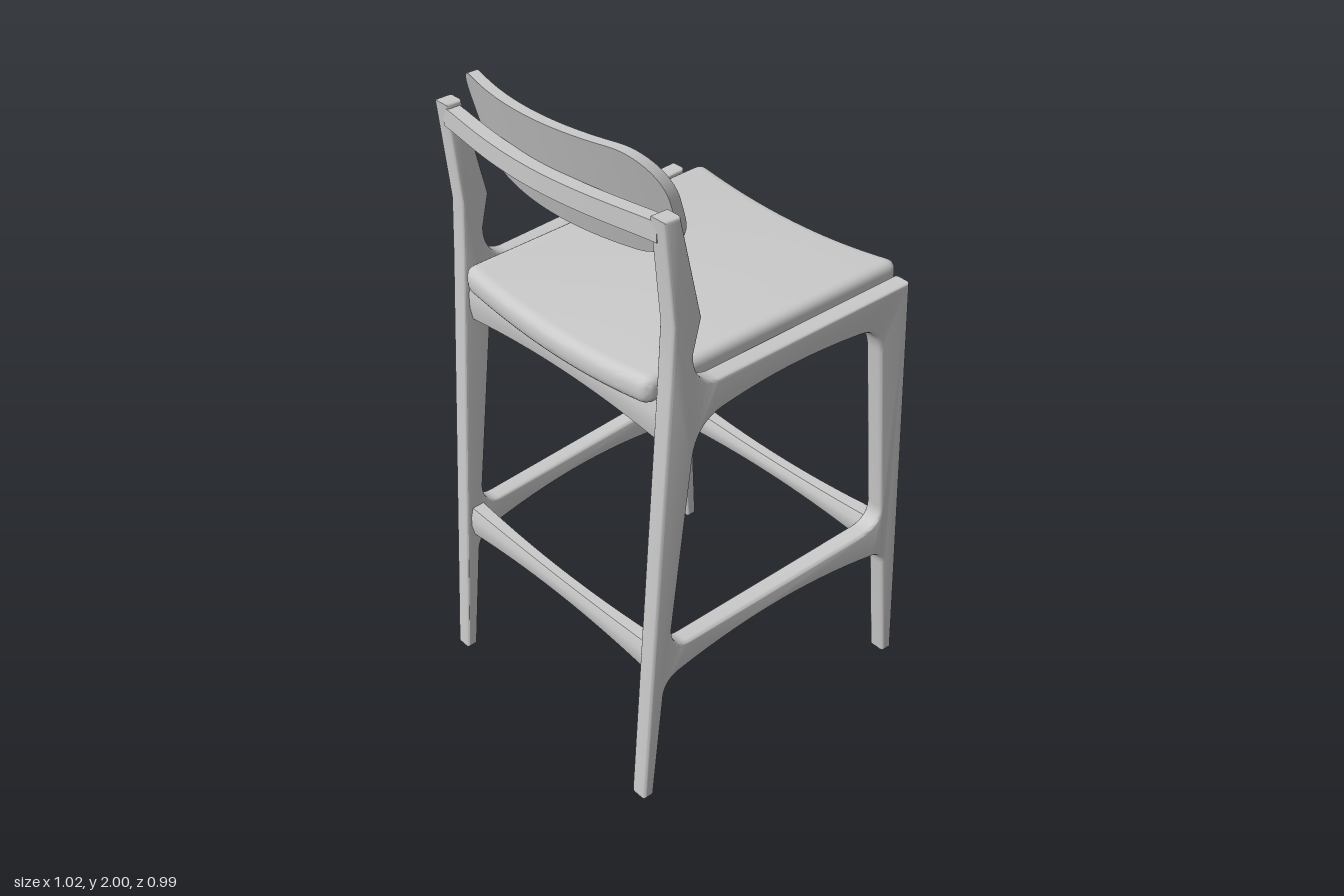
import * as THREE from 'three';
import { toCreasedNormals } from 'three/addons/utils/BufferGeometryUtils.js';

const frameGrey = new THREE.MeshStandardMaterial({ name: 'light grey', color: 0xcacaca });

// Move every vertex of a geometry by a rule, then rebuild its normals.
function reshape(geometry, rule) {
  const p = geometry.attributes.position;
  const v = new THREE.Vector3();
  for (let i = 0; i < p.count; i++) {
    v.fromBufferAttribute(p, i);
    rule(v);
    p.setXYZ(i, v.x, v.y, v.z);
  }
  return toCreasedNormals(geometry, 0.6);
}

function addPart(group, name, geometry) {
  const mesh = new THREE.Mesh(geometry, frameGrey);
  mesh.name = name;
  group.add(mesh);
}

// Legs, back post and side rails form one sawn outline with an opening.
function sideFrame(side) {
  const s = new THREE.Shape();
  s.moveTo(-0.51, 0);
  s.lineTo(-0.475, 0);
  s.lineTo(-0.435, 0.37);
  s.quadraticCurveTo(-0.428, 0.42, -0.38, 0.432);
  s.quadraticCurveTo(0, 0.515, 0.385, 0.44);
  s.quadraticCurveTo(0.43, 0.43, 0.436, 0.38);
  s.lineTo(0.475, 0);
  s.lineTo(0.51, 0);
  s.lineTo(0.445, 1.385);
  s.lineTo(-0.25, 1.362);
  s.quadraticCurveTo(-0.335, 1.375, -0.335, 1.47);
  s.lineTo(-0.31, 1.57);
  s.lineTo(-0.378, 1.872);
  s.lineTo(-0.43, 1.872);
  s.lineTo(-0.4, 1.57);
  s.lineTo(-0.41, 1.4);
  s.closePath();

  const h = new THREE.Path();
  h.moveTo(-0.405, 0.6);
  h.quadraticCurveTo(-0.405, 0.525, -0.34, 0.525);
  h.lineTo(0.34, 0.55);
  h.quadraticCurveTo(0.41, 0.555, 0.405, 0.62);
  h.lineTo(0.35, 1.19);
  h.quadraticCurveTo(0.34, 1.28, 0.26, 1.285);
  h.quadraticCurveTo(0, 1.31, -0.22, 1.27);
  h.quadraticCurveTo(-0.32, 1.26, -0.335, 1.15);
  h.closePath();
  s.holes.push(h);

  const geometry = new THREE.ExtrudeGeometry(s, {
    depth: 0.036, curveSegments: 14, bevelEnabled: true,
    bevelThickness: 0.011, bevelSize: 0.009, bevelOffset: -0.009, bevelSegments: 3,
  });
  geometry.translate(0, 0, -0.018);
  // The frames spread apart towards the front.
  return reshape(geometry, (v) => { v.z += side * (0.4325 + (v.x + 0.48) * 0.034); });
}

// Cross bar with an arched underside, soft ridge and flared ends.
function crossBar(x, top, bottom, halfLength, width, archTop, archBottom) {
  const geometry = new THREE.BoxGeometry(1, 1, 2, 1, 3, 28);
  return reshape(geometry, (v) => {
    const middle = 1 - v.z * v.z;
    const upper = top - archTop * middle;
    const lower = bottom + archBottom * middle;
    const ridge = Math.abs(v.y) > 0.4 ? 0.7 : 1;
    v.x = x + v.x * width * ridge * (1 - 0.3 * middle);
    v.y = lower + (upper - lower) * (v.y + 0.5);
    v.z *= halfLength;
  });
}

// Dished seat pad: rounded side profile drawn across the width.
function seatPad() {
  const s = new THREE.Shape();
  const a = -0.43, b = 0.493, t = 0.085, r = 0.038;
  s.moveTo(a + r, 0);
  s.lineTo(b - r, 0);
  s.quadraticCurveTo(b, 0, b, r);
  s.lineTo(b, t - r);
  s.quadraticCurveTo(b, t, b - r, t);
  s.lineTo(a + r, t);
  s.quadraticCurveTo(a, t, a, t - r);
  s.lineTo(a, r);
  s.quadraticCurveTo(a, 0, a + r, 0);
  const geometry = new THREE.ExtrudeGeometry(s, {
    depth: 0.74, steps: 28, curveSegments: 6, bevelEnabled: true,
    bevelThickness: 0.035, bevelSize: 0.033, bevelOffset: -0.033, bevelSegments: 6,
  });
  geometry.translate(0, 0, -0.37);
  return reshape(geometry, (v) => {
    v.y += 1.283 + 0.015 * (v.x - 0.2) + 0.036 * (v.z / 0.4) ** 2;
    v.z *= 0.99 + 0.05 * v.x;
  });
}

// Tilted backrest with round corners, curved around the sitter.
function backRest() {
  const halfHeight = 0.155, halfWidth = 0.397, radius = 0.13;
  const geometry = new THREE.BoxGeometry(0.033, 2, 2, 1, 28, 32);
  return reshape(geometry, (v) => {
    const y = halfHeight * Math.sin(v.y * Math.PI / 2);
    const d = Math.max(0, Math.abs(y) - (halfHeight - radius));
    const width = halfWidth - radius + Math.sqrt(Math.max(0, radius * radius - d * d));
    v.z *= width;
    v.y = 1.845 + y;
    v.x += -0.414 - y * 0.29 + 0.085 * (v.z / halfWidth) ** 2;
  });
}

// Bowed rail joining the post tops behind the backrest.
function backRail() {
  const geometry = new THREE.BoxGeometry(0.042, 0.055, 2, 1, 1, 28);
  return reshape(geometry, (v) => {
    v.x += -0.405 - 0.048 * (1 - v.z * v.z) ** 1.3;
    v.y += 1.832;
    v.z *= 0.43;
  });
}

export function createModel() {
  const chair = new THREE.Group();
  chair.name = 'barChair';
  addPart(chair, 'leftSideFrame', sideFrame(-1));
  addPart(chair, 'rightSideFrame', sideFrame(1));
  addPart(chair, 'frontFootRail', crossBar(0.435, 0.55, 0.45, 0.45, 0.07, 0.022, 0.02));
  addPart(chair, 'backFootRail', crossBar(-0.43, 0.54, 0.435, 0.425, 0.06, 0.018, 0.02));
  addPart(chair, 'frontApron', crossBar(0.395, 1.325, 1.205, 0.45, 0.065, 0.02, 0.022));
  addPart(chair, 'backApron', crossBar(-0.375, 1.325, 1.195, 0.425, 0.06, 0.02, 0.022));
  addPart(chair, 'seat', seatPad());
  addPart(chair, 'backrest', backRest());
  addPart(chair, 'backRail', backRail());
  return chair;
}
